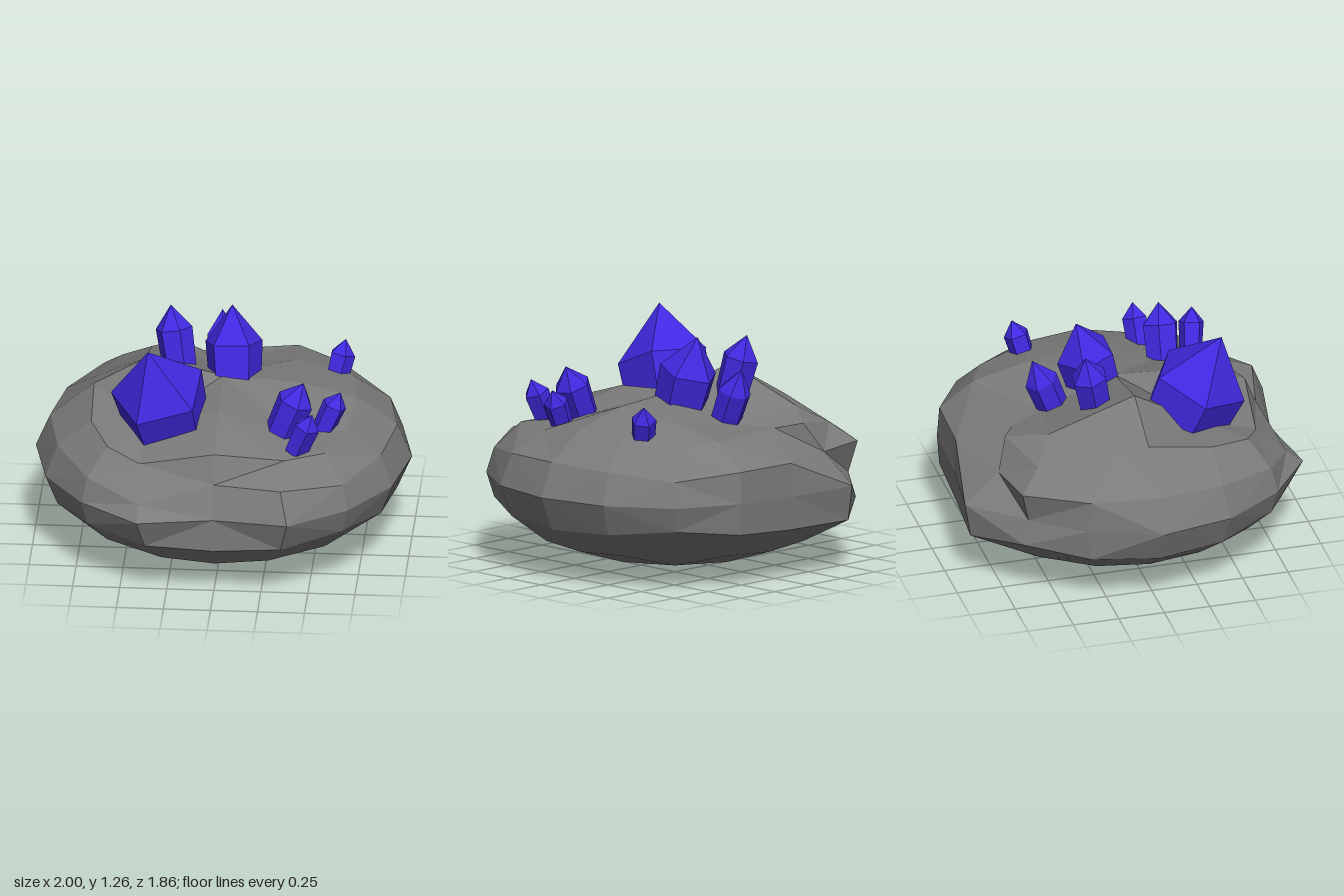
import * as THREE from 'three';

const rockMat = new THREE.MeshStandardMaterial({ color: 0x7a7a7a, flatShading: true });
const crystalMat = new THREE.MeshStandardMaterial({ color: 0x4029e0, flatShading: true });

// Dents and bumps in the boulder: grid point of the cube -> final position
const dents = {
  // front notch
  '0,1,2': [0, 0.63, 0.78],
  '0,0,2': [0, 0.46, 0.86],
  '0,-1,2': [0, 0.28, 0.86],
  '-1,0,2': [-0.4, 0.46, 0.93],
  '1,0,2': [0.4, 0.47, 0.93],
  '-1,1,2': [-0.4, 0.53, 0.84],
  '-1,2,2': [-0.4, 0.69, 0.67],
  '0,2,2': [0, 0.78, 0.72],
  '1,2,2': [0.37, 0.72, 0.64],
  // top ridge, with hollows around it
  '0,2,0': [0, 0.91, 0],
  '1,2,0': [0.4, 0.88, 0],
  '-1,2,0': [-0.41, 1.0, 0],
  '-1,2,1': [-0.38, 0.78, 0.37],
  '0,2,1': [0, 0.88, 0.4],
  '1,2,1': [0.38, 0.76, 0.38],
  '2,2,1': [0.68, 0.75, 0.3],
  '-2,2,0': [-0.69, 0.84, 0],
  '-2,2,1': [-0.68, 0.78, 0.35],
  '-2,2,-1': [-0.67, 0.82, -0.15],
  '-1,2,-1': [-0.42, 0.84, -0.48],
  '0,2,-1': [-0.05, 0.78, -0.42],
  '1,2,-1': [0.37, 0.84, -0.38],
  '0,2,-2': [-0.15, 0.77, -0.6],
  '1,2,-2': [0.35, 0.78, -0.68],
  // back spur and overhang
  '-2,0,-1': [-0.86, 0.47, -0.38],
  '-2,1,-2': [-0.68, 0.64, -0.69],
  '-2,0,-2': [-0.65, 0.47, -0.65],
  '-1,1,-2': [-0.38, 0.63, -0.74],
  '-1,0,-2': [-0.4, 0.47, -0.93],
  '-1,-1,-2': [-0.4, 0.28, -0.9],
  '0,1,-2': [0, 0.64, -0.87],
  '0,0,-2': [0, 0.46, -0.88],
  '0,-1,-2': [0, 0.28, -0.87],
  '1,0,-2': [0.37, 0.47, -0.87],
  // underside
  '-1,-2,0': [-0.23, 0, 0],
  '0,-2,0': [0, 0.015, 0],
};

// Gridded cube rounded to a squashed sphere, then dented
function rockGeometry() {
  const spread = [0, 0.42, 1];
  const box = new THREE.BoxGeometry(4, 4, 4, 4, 4, 4);
  const corner = (i) => {
    const p = new THREE.Vector3().fromBufferAttribute(box.attributes.position, i);
    const grid = p.toArray().map(Math.round);
    const dent = dents[grid.join(',')];
    if (dent) return p.set(...dent);
    p.set(...grid.map((g) => Math.sign(g) * spread[Math.abs(g)])).normalize();
    p.y = 0.47 + 0.47 * p.y;
    return p;
  };
  // each quad is split along its shorter diagonal
  const points = [];
  for (let i = 0; i < box.index.count; i += 6) {
    const [a, b, c, d] = [0, 1, 4, 5].map((k) => corner(box.index.getX(i + k)));
    if (a.distanceTo(c) < b.distanceTo(d)) points.push(a, b, c, a, c, d);
    else points.push(a, b, d, b, c, d);
  }
  const geo = new THREE.BufferGeometry().setFromPoints(points);
  geo.computeVertexNormals();
  return geo;
}

// Leaning crystal: a short prism with a pointed cap
function crystal(name, base, tip, radius, sides, shoulder, twist) {
  const from = new THREE.Vector3(...base);
  const axis = new THREE.Vector3(...tip).sub(from);
  const h = axis.length();
  const profile = [[0, 0], [radius * 0.9, 0], [radius, h * shoulder], [0, h]];
  const geo = new THREE.LatheGeometry(profile.map((q) => new THREE.Vector2(...q)), sides);
  geo.rotateY(twist);
  const mesh = new THREE.Mesh(geo, crystalMat);
  mesh.name = name;
  mesh.position.copy(from);
  mesh.quaternion.setFromUnitVectors(new THREE.Vector3(0, 1, 0), axis.normalize());
  return mesh;
}

export function createModel() {
  const model = new THREE.Group();
  model.name = 'crystalRock';

  const rock = new THREE.Mesh(rockGeometry(), rockMat);
  rock.name = 'rock';
  model.add(rock);

  const crystals = new THREE.Group();
  crystals.name = 'crystals';
  crystals.add(
    crystal('largeCrystal', [-0.27, 0.71, 0.28], [-0.37, 1.26, 0.49], 0.26, 5, 0.5, -0.44),
    crystal('centerCrystal', [0.05, 0.8, -0.08], [0.03, 1.23, -0.2], 0.16, 5, 0.55, 0.62),
    crystal('backCrystal', [-0.03, 0.67, -0.3], [-0.04, 1.08, -0.46], 0.09, 6, 0.7, 0),
    crystal('backRightCrystal', [-0.24, 0.82, -0.16], [-0.3, 1.2, -0.24], 0.1, 6, 0.68, 0.4),
    crystal('backLeftCrystal', [0.57, 0.74, -0.33], [0.62, 0.96, -0.39], 0.07, 5, 0.65, 0.3),
    crystal('frontTallCrystal', [0.32, 0.73, 0.36], [0.45, 1.05, 0.37], 0.1, 6, 0.67, 0.2),
    crystal('frontSideCrystal', [0.54, 0.73, 0.29], [0.64, 0.96, 0.28], 0.068, 5, 0.68, 0.6),
    crystal('frontSmallCrystal', [0.42, 0.73, 0.54], [0.51, 0.96, 0.57], 0.07, 5, 0.68, 0.1),
  );
  model.add(crystals);
  return model;
}
